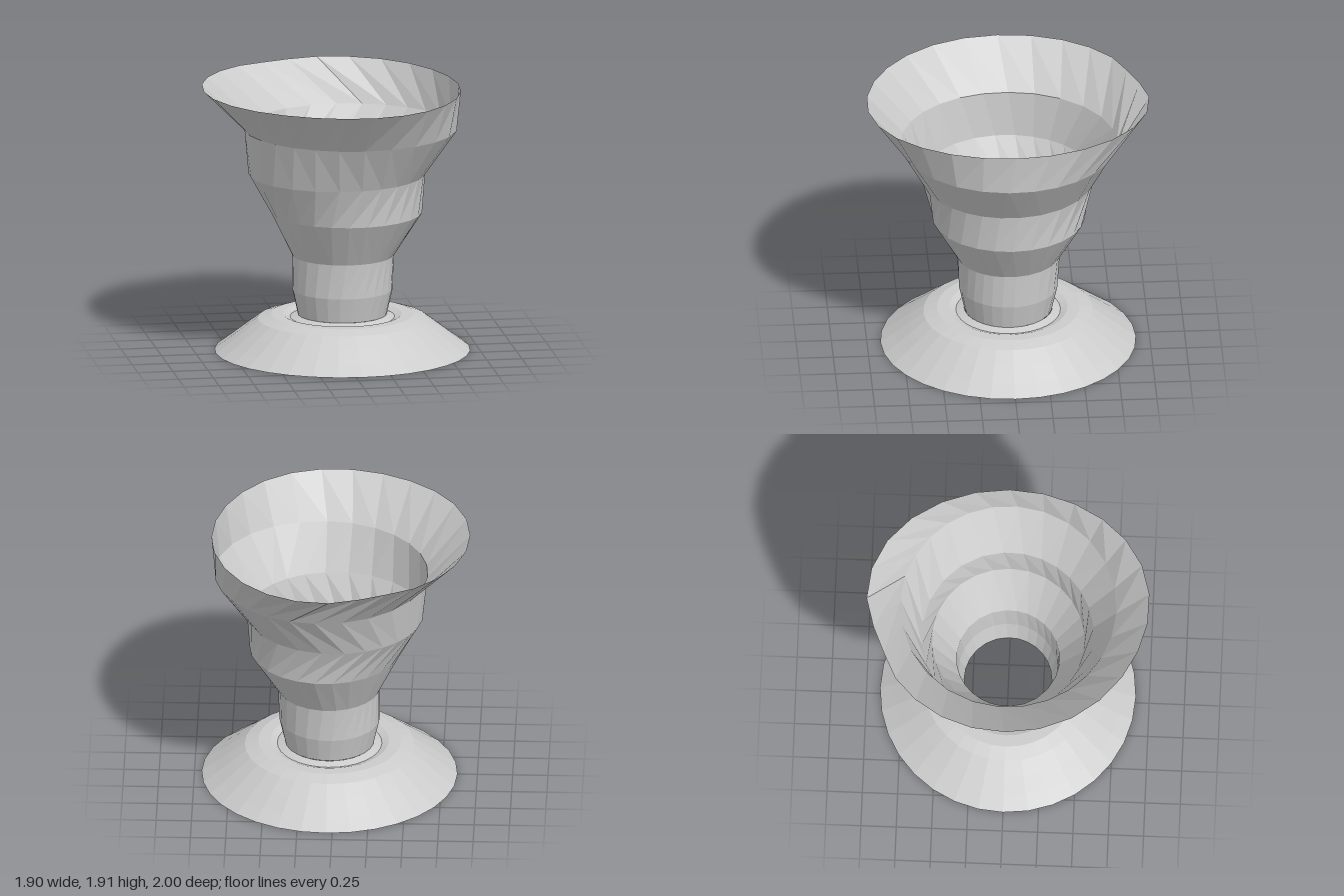
import * as THREE from 'three';

const SEGMENTS = 26;

// Cup rings from foot to lip: height, left x, right x, z radius, twist of the facets at the seam
const RINGS = [
  { y: 0.26, l: -0.27, r: 0.36, rz: 0.31, twist: 0.2 },
  { y: 0.44, l: -0.31, r: 0.40, rz: 0.35, twist: 0.25 },
  { y: 0.69, l: -0.31, r: 0.41, rz: 0.365, twist: 0.4 },
  { y: 1.0, l: -0.46, r: 0.61, rz: 0.54, twist: 0.0 },
  { y: 1.28, l: -0.62, r: 0.63, rz: 0.61, twist: 0.35 },
  { y: 1.605, l: -0.65, r: 0.86, rz: 0.765, twist: -0.2 },
  { y: 1.9, l: -0.95, r: 0.88, rz: 1.0, twist: 0.08, lip: true },
];

// One point of a ring; the angle runs from +x towards +z
function ringPoint(ring, t) {
  const a = t - ring.twist * (0.25 + 0.5 * Math.sin(t) ** 2);
  const cx = (ring.l + ring.r) / 2, rx = (ring.r - ring.l) / 2;
  let f = 1, y = ring.y;
  if (ring.lip) {
    // The lip leans to one side and has a flattened stretch at the back
    const s = Math.abs(Math.sin(a));
    f += 0.08 * Math.cos(a) * s ** 3;
    f -= 0.04 * Math.exp(-(((a - 4.4) / 0.22) ** 2));
    y -= 0.008 * Math.cos(a);
  }
  const z = THREE.MathUtils.clamp(ring.rz * f * Math.sin(a), -1, 1);
  return [cx + rx * f * Math.cos(a), y, z];
}

// Skin the rings with an open, faceted wall
function cupGeometry() {
  const positions = [], index = [];
  for (const ring of RINGS)
    for (let i = 0; i < SEGMENTS; i++)
      positions.push(...ringPoint(ring, (i / SEGMENTS) * Math.PI * 2));
  for (let j = 0; j < RINGS.length - 1; j++)
    for (let i = 0; i < SEGMENTS; i++) {
      const k = (i + 1) % SEGMENTS;
      const a = j * SEGMENTS + i, b = j * SEGMENTS + k;
      const c = a + SEGMENTS, d = b + SEGMENTS;
      index.push(a, c, b, b, c, d);
    }
  const geometry = new THREE.BufferGeometry();
  geometry.setAttribute('position', new THREE.Float32BufferAttribute(positions, 3));
  geometry.setIndex(index);
  geometry.computeVertexNormals();
  return geometry;
}

export function createModel() {
  const group = new THREE.Group();
  group.name = 'goblet';
  const material = new THREE.MeshStandardMaterial({
    color: 0xcccccc, flatShading: true, side: THREE.DoubleSide,
  });

  // Cup and stem, open at both ends
  const cup = new THREE.Mesh(cupGeometry(), material);
  cup.name = 'cup';
  group.add(cup);

  // Flared foot, hollow underneath, with a shallow groove around the stem
  const profile = [
    [0.905, 0], [0.81, 0.07], [0.70, 0.155], [0.60, 0.23], [0.505, 0.26],
    [0.42, 0.26], [0.37, 0.24], [0.312, 0.26],
  ].map(([r, y]) => new THREE.Vector2(r, y));
  const foot = new THREE.Mesh(new THREE.LatheGeometry(profile, 32), material);
  foot.name = 'foot';
  foot.position.x = 0.045;
  group.add(foot);

  return group;
}
